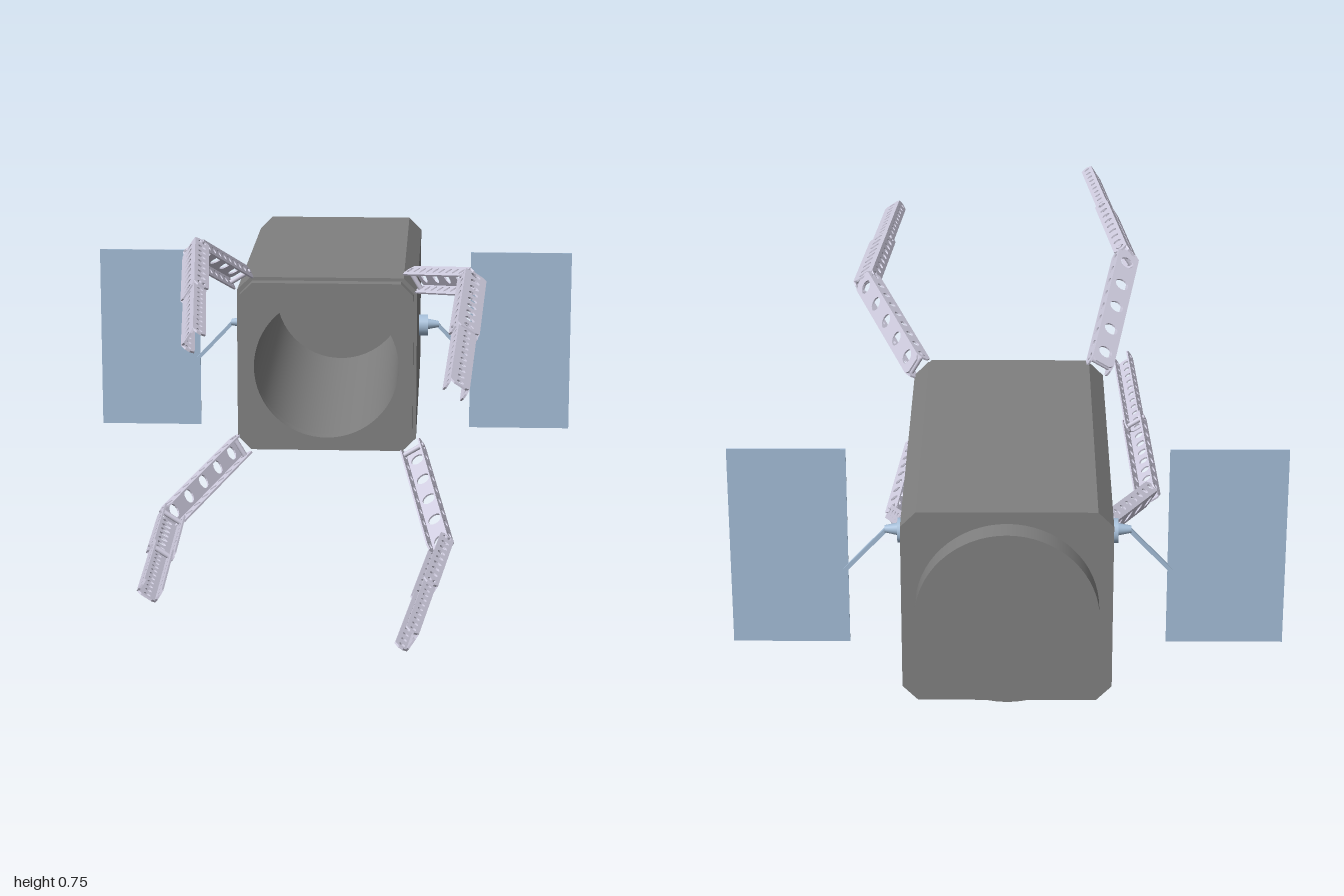
import * as THREE from 'three';
import { toCreasedNormals } from 'three/addons/utils/BufferGeometryUtils.js';

const CY = 0.378; // height of the body axis
const mat = (color) => new THREE.MeshStandardMaterial({ color });
const bodyMat = mat(0x808080), armMat = mat(0xd0cde0), panelMat = mat(0xa3bcd6);

function part(name, geometry, material, parent) {
  const mesh = new THREE.Mesh(geometry, material);
  mesh.name = name;
  parent.add(mesh);
  return mesh;
}

// chamfered square with a round bore
function octagon(x, y, c, bore) {
  const s = new THREE.Shape([
    [x, y - c], [x - c, y], [c - x, y], [-x, y - c],
    [-x, c - y], [c - x, -y], [x - c, -y], [x, c - y],
  ].map(([a, b]) => new THREE.Vector2(a, b)));
  s.holes.push(new THREE.Path().absarc(0, 0, bore, 0, Math.PI * 2, true));
  return s;
}

function extrude(shape, depth, curveSegments) {
  return new THREE.ExtrudeGeometry(shape, { depth, bevelEnabled: false, curveSegments });
}

// perforated strip along x, corners clipped by c
function strip(length, width, thick, count, radius, c) {
  const w = width / 2;
  const s = new THREE.Shape([
    [0, c - w], [c, -w], [length - c, -w], [length, c - w],
    [length, w - c], [length - c, w], [c, w], [0, w - c],
  ].map(([a, b]) => new THREE.Vector2(a, b)));
  for (let i = 0; i < count; i++) {
    const x = (length * (i + 0.5)) / count;
    s.holes.push(new THREE.Path().absarc(x, 0, radius, 0, Math.PI * 2, true));
  }
  return extrude(s, thick, 7).translate(0, 0, -thick / 2);
}

// U channel from a to b; its web faces outward at the given angle about z
function channel(name, a, b, angle, o) {
  const g = new THREE.Group();
  g.name = name;
  const length = a.distanceTo(b), t = 0.004;
  part('web', strip(length, o.width - t, t, o.webHoles, o.webRadius, 0.008), armMat, g)
    .position.z = o.height / 2 - t / 2;
  for (const side of [-1, 1]) {
    const f = part('flange', strip(length, o.height, t, o.holes, o.radius, 0.01), armMat, g);
    f.rotation.x = Math.PI / 2;
    f.position.y = side * (o.width / 2 - t / 2);
  }
  const dir = b.clone().sub(a).normalize();
  const out = new THREE.Vector3(Math.cos(angle), Math.sin(angle), 0);
  out.addScaledVector(dir, -out.dot(dir)).normalize();
  const across = out.clone().cross(dir);
  g.quaternion.setFromRotationMatrix(new THREE.Matrix4().makeBasis(dir, across, out));
  g.position.copy(a);
  // hinge pins at the start of the channel
  const pin = part('hingePin', new THREE.CylinderGeometry(0.006, 0.006, o.pin, 10), armMat, g);
  pin.position.x = 0.018;
  return g;
}

function createArm() {
  const arm = new THREE.Group();
  const root = new THREE.Vector3(0.205, 0.205, -0.14);
  const elbow = new THREE.Vector3(0.341, 0.278, 0.24);
  const tip = new THREE.Vector3(0.306, 0.212, 1);
  const deg = Math.PI / 180;
  const along = (z) => elbow.clone().lerp(tip, (z - elbow.z) / (tip.z - elbow.z));
  arm.add(
    channel('upperArm', root, elbow, 31 * deg,
      { width: 0.055, height: 0.036, webHoles: 5, webRadius: 0.017, holes: 9, radius: 0.009, pin: 0.06 }),
    channel('middleArm', along(0.225), along(0.64), 57 * deg,
      { width: 0.055, height: 0.036, webHoles: 9, webRadius: 0.012, holes: 9, radius: 0.01, pin: 0.06 }),
    channel('foreArm', along(0.6), tip, 57 * deg,
      { width: 0.045, height: 0.03, webHoles: 11, webRadius: 0.008, holes: 11, radius: 0.007, pin: 0.062 }),
  );
  return arm;
}

function createWing() {
  const wing = new THREE.Group();
  const z = -0.573;
  // mounting boss and tapered socket
  const boss = part('mountBoss', new THREE.CylinderGeometry(0.027, 0.027, 0.025, 24), panelMat, wing);
  boss.rotation.z = -Math.PI / 2;
  boss.position.set(0.2255, 0, z);
  const socket = part('mountSocket', new THREE.CylinderGeometry(0.008, 0.014, 0.03, 16), panelMat, wing);
  socket.rotation.z = -Math.PI / 2;
  socket.position.set(0.251, 0.003, z);
  // sloping strut
  const a = new THREE.Vector3(0.258, 0.007, z), b = new THREE.Vector3(0.354, -0.095, z);
  const strut = part('strut', new THREE.BoxGeometry(a.distanceTo(b), 0.009, 0.008), panelMat, wing);
  strut.position.copy(a).add(b).multiplyScalar(0.5);
  strut.rotation.z = Math.atan2(b.y - a.y, b.x - a.x);
  // flat panel
  part('panel', new THREE.BoxGeometry(0.255, 0.458, 0.003), panelMat, wing)
    .position.set(0.4735, -0.039, z);
  return wing;
}

export function createModel() {
  const model = new THREE.Group();
  model.name = 'satellite';
  const core = new THREE.Group();
  core.name = 'core';
  core.position.y = CY;
  model.add(core);

  // hollow body, slightly inset front rim and rear cap
  const hull = toCreasedNormals(extrude(octagon(0.215, 0.212, 0.032, 0.173), 0.825, 32), 0.5);
  part('body', hull, bodyMat, core).position.z = -0.945;
  const rim = toCreasedNormals(extrude(octagon(0.207, 0.204, 0.03, 0.173), 0.032, 32), 0.5);
  part('frontRim', rim, bodyMat, core).position.z = -0.12;
  const cap = part('rearCap', new THREE.CylinderGeometry(0.187, 0.187, 0.065, 64), bodyMat, core);
  cap.rotation.x = Math.PI / 2;
  cap.position.z = -0.9675;

  // four arms in a pinwheel about the body axis
  for (let i = 0; i < 4; i++) {
    const arm = createArm();
    arm.name = 'arm' + (i + 1);
    arm.rotation.z = (i * Math.PI) / 2;
    core.add(arm);
  }

  // two side panels; the right one is the left one mirrored
  for (const side of [1, -1]) {
    const wing = createWing();
    wing.name = side > 0 ? 'leftWing' : 'rightWing';
    wing.scale.x = side;
    core.add(wing);
  }
  return model;
}
